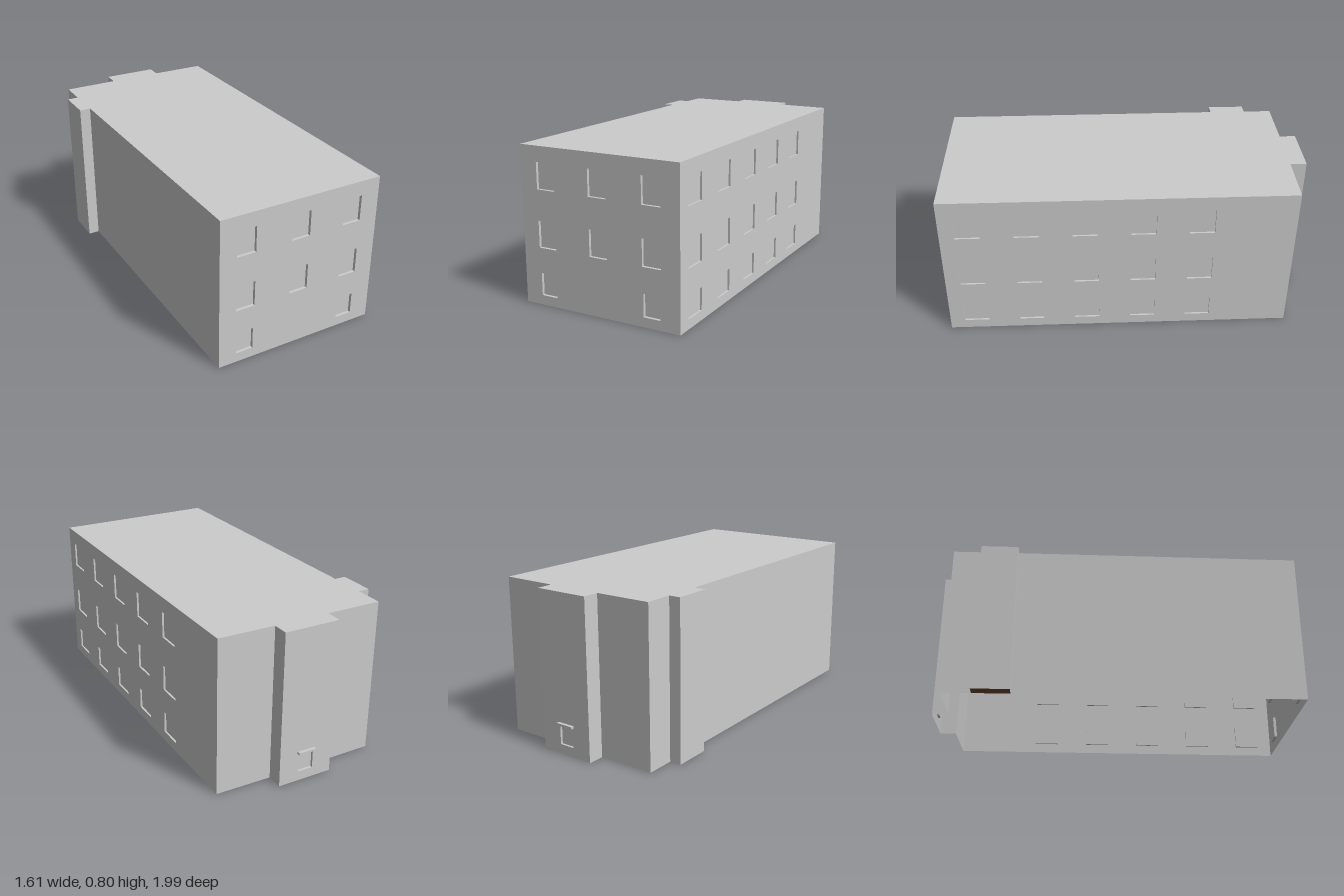
import * as THREE from 'three';

const H = 0.8;
const mat = new THREE.MeshStandardMaterial({ color: 0xcccccc, side: THREE.DoubleSide, flatShading: true });
const brown = new THREE.MeshStandardMaterial({ color: 0x70492f, side: THREE.DoubleSide });

// Footprint corners [x, z], counter-clockwise seen from above
const plan = [
  [0.025, 0.995], [0.8, 0.59], [-0.03, -0.997], [-0.29, -0.867], [-0.328, -0.942], [-0.585, -0.81],
  [-0.547, -0.735], [-0.805, -0.6], [-0.737, -0.468], [-0.79, -0.44], [-0.702, -0.27], [-0.65, -0.298],
];

// Storeys: [bottom, top] of the windows
const rows = [[0.05, 0.165], [0.295, 0.43], [0.587, 0.722]];

function addMesh(parent, name, geometry, material = mat) {
  const mesh = new THREE.Mesh(geometry, material);
  mesh.name = name;
  parent.add(mesh);
  return mesh;
}

// Horizontal sheet from [x, z] corners
function sheet(points) {
  const shape = new THREE.Shape(points.map(([x, z]) => new THREE.Vector2(x, -z)));
  return new THREE.ShapeGeometry(shape).rotateX(-Math.PI / 2);
}

// Shallow recess: a box without its outer face
function recess({ u0, u1, y0, y1, d }) {
  const geo = new THREE.BoxGeometry(u1 - u0, y1 - y0, d);
  const index = Array.from(geo.index.array);
  index.splice(24, 6);
  geo.setIndex(index);
  geo.clearGroups();
  return geo.translate((u0 + u1) / 2, (y0 + y1) / 2, -d / 2);
}

// Wall from p to q: local x runs along it, local z points outward
function wall(name, p, q, windows = []) {
  const g = new THREE.Group();
  g.name = name;
  const dx = q[0] - p[0], dz = q[1] - p[1], len = Math.hypot(dx, dz);
  const shape = new THREE.Shape([[0, 0], [len, 0], [len, H], [0, H]].map(a => new THREE.Vector2(...a)));
  for (const w of windows) {
    const { u0, u1, y0, y1 } = w;
    shape.holes.push(new THREE.Path([[u0, y0], [u0, y1], [u1, y1], [u1, y0]].map(a => new THREE.Vector2(...a))));
    addMesh(g, 'window', recess(w));
  }
  addMesh(g, 'wallPanel', new THREE.ShapeGeometry(shape));
  g.position.set(p[0], 0, p[1]);
  g.rotation.y = Math.atan2(-dz, dx);
  return g;
}

export function createModel() {
  const model = new THREE.Group();
  model.name = 'building';

  // Windows of the front wall (none in the middle of the ground floor)
  const front = [];
  rows.forEach(([y0, y1], r) => [0.14, 0.435, 0.725].forEach((u, c) => {
    if (r === 0 && c === 1) return;
    const half = r === 0 ? 0.045 : 0.05;
    front.push({ u0: u - half, u1: u + half, y0, y1, d: 0.015 });
  }));

  // Windows of the long wall
  const side = [];
  for (const [y0, y1] of rows) {
    for (let i = 0; i < 5; i++) {
      const u1 = 0.204 + i * 0.2935;
      side.push({ u0: u1 - 0.128, u1, y0, y1, d: 0.01 });
    }
  }

  // Small window of the rear projection
  const rear = [{ u0: 0.105, u1: 0.185, y0: 0.05, y1: 0.15, d: 0.012 }];

  const windows = { 0: front, 1: side, 4: rear };
  const names = { 0: 'frontWall', 1: 'longWindowWall', 4: 'rearBayWall', 9: 'sideBayWall', 11: 'longBlankWall' };
  plan.forEach((p, i) => {
    const w = wall(names[i] || 'wall', p, plan[(i + 1) % plan.length], windows[i]);
    // Canopy over the rear window
    if (i === 4) addMesh(w, 'canopy', new THREE.BoxGeometry(0.095, 0.012, 0.016).translate(0.145, 0.156, 0.008));
    model.add(w);
  });

  // Flat roof, and the floor of the side bay; the rest is open below
  addMesh(model, 'roof', sheet(plan)).position.y = H;
  addMesh(model, 'bayFloor', sheet(plan.slice(8, 12)), brown).position.y = 0.001;

  return model;
}
